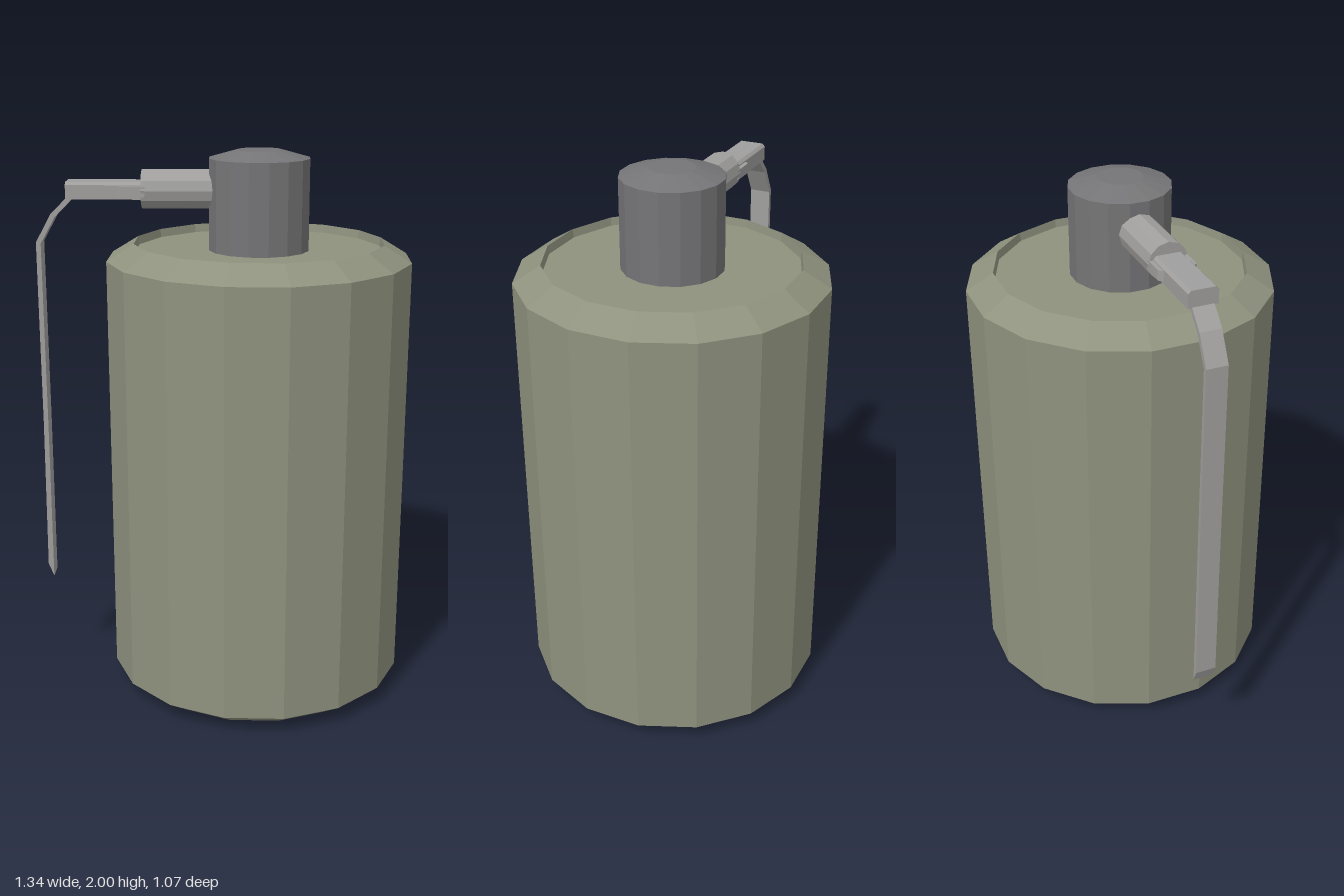
import * as THREE from 'three';

const AXIS_X = 0.13; // centre of the canister

function material(name, color) {
  const m = new THREE.MeshStandardMaterial({ color });
  m.name = name;
  return m;
}

// Hard facets: every face gets its own normal
function faceted(geometry) {
  const g = geometry.index ? geometry.toNonIndexed() : geometry;
  g.computeVertexNormals();
  return g;
}

// Sixteen-sided turned part, profile given from bottom to top as [radius, y]
function turned(profile) {
  const points = profile.map(([r, y]) => new THREE.Vector2(r, y));
  return faceted(new THREE.LatheGeometry(points, 16, Math.PI / 16));
}

// Outline extruded along z and centred on z = 0
function extruded(outline, depth) {
  const shape = new THREE.Shape(outline.map(([x, y]) => new THREE.Vector2(x, y)));
  const g = new THREE.ExtrudeGeometry(shape, { depth, bevelEnabled: false });
  return faceted(g.translate(0, 0, -depth / 2));
}

export function createModel() {
  const model = new THREE.Group();
  const olive = material('olive', 0x8f927e);
  const darkGrey = material('dark grey', 0x757577);
  const lightGrey = material('light grey', 0xa09f9e);

  function add(name, geometry, mat, x = 0, y = 0, z = 0) {
    const mesh = new THREE.Mesh(geometry, mat);
    mesh.name = name;
    mesh.position.set(x, y, z);
    model.add(mesh);
    return mesh;
  }

  // Canister with bevelled ends and a shallow recess in the top
  add('canister', turned([
    [0, 0], [0.449, 0], [0.547, 0.065], [0.547, 1.62],
    [0.449, 1.68], [0.445, 1.65], [0, 1.65],
  ]), olive, AXIS_X);

  // Neck with a low conical cap
  add('neck', turned([
    [0, 1.64], [0.18, 1.64], [0.18, 1.972], [0.08, 2], [0, 2],
  ]), darkGrey, AXIS_X);

  // Round arm reaching out of the neck
  const arm = new THREE.CylinderGeometry(0.069, 0.069, 0.3, 12);
  arm.rotateZ(Math.PI / 2);
  add('arm', faceted(arm), lightGrey, -0.135, 1.862);

  // Hinge bar with chamfered upper edges, running along x
  const bar = extruded([
    [-0.052, -0.03], [0.052, -0.03], [0.052, 0.02],
    [0.042, 0.03], [-0.042, 0.03], [-0.052, 0.02],
  ], 0.28);
  bar.rotateY(Math.PI / 2);
  add('hingeBar', bar, lightGrey, -0.412, 1.86);

  // Flat pin across the bar, with clipped ends
  const pin = extruded([
    [-0.27, -0.067], [-0.27, 0.067], [-0.355, 0.067],
    [-0.37, 0.05], [-0.37, -0.05], [-0.355, -0.067],
  ], 0.036);
  pin.rotateX(Math.PI / 2);
  add('hingePin', pin, lightGrey, 0, 1.858);

  // Bent strip hanging beside the canister
  add('lever', extruded([
    [-0.53, 1.835], [-0.55, 1.835], [-0.61, 1.775], [-0.665, 1.675],
    [-0.665, 1.0], [-0.67, 0.43], [-0.65, 0.38], [-0.648, 1.0],
    [-0.648, 1.67], [-0.595, 1.765], [-0.53, 1.83],
  ], 0.076), lightGrey);

  return model;
}
